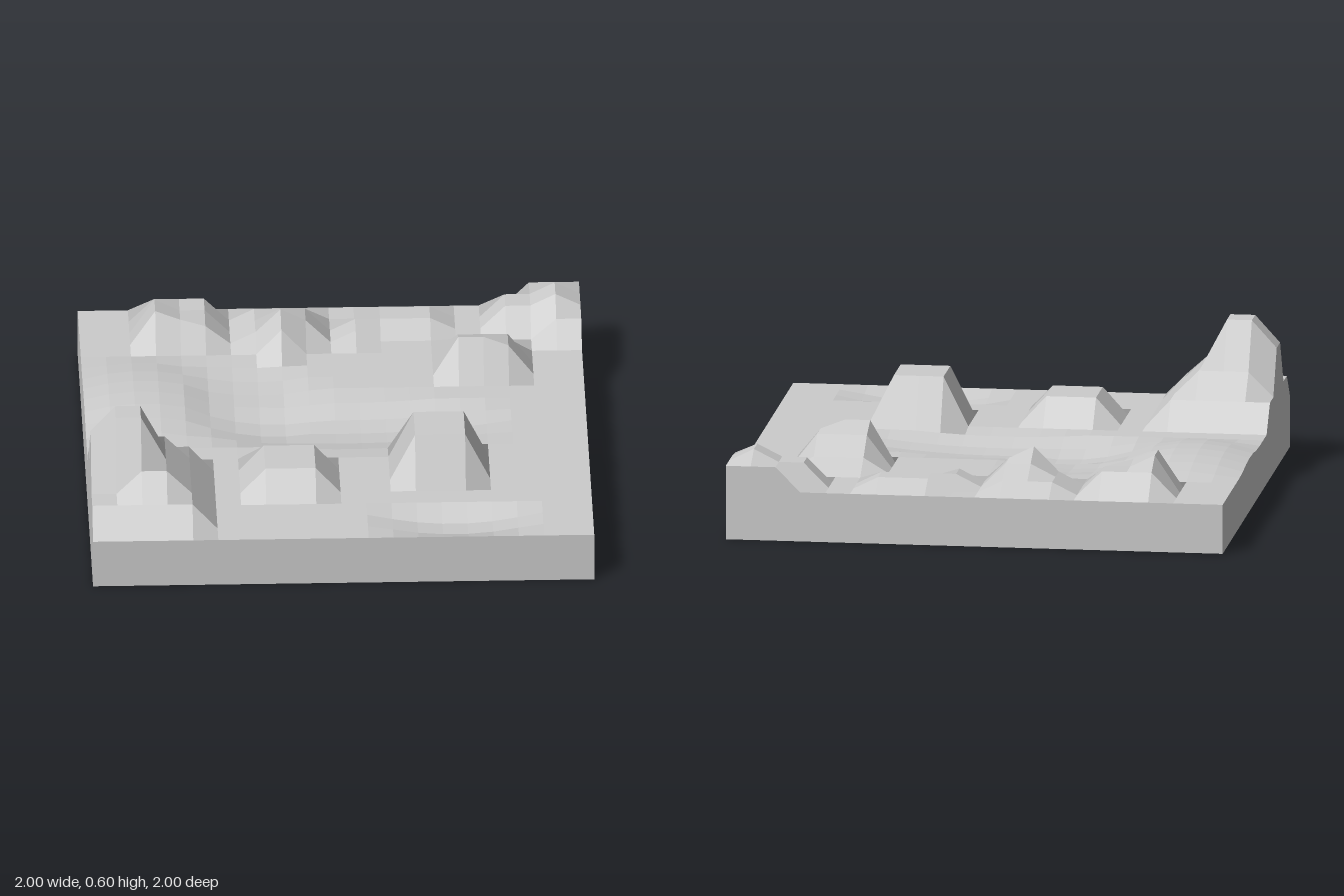
import * as THREE from 'three';

const N = 20;          // terrain cells per side, 0.1 units each
const GROUND = 0.2;    // level of the flat ground

// Flat-topped hill: lifts the grid points in a rectangle; the next cell out forms the slope
const hill = (x0, x1, z0, z1, rise) => (x, z, h) =>
  x > x0 - 0.01 && x < x1 + 0.01 && z > z0 - 0.01 && z < z1 + 0.01
    ? Math.max(h, GROUND + rise) : h;

// Soft oval swell (positive) or hollow (negative)
const swell = (cx, cz, rx, rz, rise) => (x, z, h) =>
  h + rise * Math.max(0, 1 - ((x - cx) / rx) ** 2 - ((z - cz) / rz) ** 2);

const features = [
  // river bed, its north-western arm, western plateau, front pond
  swell(0.05, 0, 0.65, 0.24, -0.05),
  swell(-0.3, -0.2, 0.25, 0.35, -0.03),
  swell(-0.77, -0.2, 0.28, 0.4, 0.05),
  swell(0.45, 0.84, 0.35, 0.14, -0.05),
  // corner mountain: foot, shoulder, ledge, summit
  hill(-1, -0.6, 0.4, 0.9, 0.11),
  hill(-0.9, -0.7, 0.5, 0.7, 0.21),
  hill(-0.8, -0.7, 0.8, 0.8, 0.21),
  hill(-1, -0.8, 0.6, 0.7, 0.29),
  hill(-0.9, -0.8, 0.6, 0.7, 0.4),
  // front mound and square hill
  hill(-0.3, -0.1, 0.4, 0.6, 0.11),
  hill(0.3, 0.5, 0.3, 0.5, 0.2),
  // east ridge, rising towards the front
  hill(0.5, 0.7, -0.6, -0.6, 0.06),
  hill(0.5, 0.7, -0.5, -0.4, 0.13),
  hill(0.5, 0.6, -0.4, -0.4, 0.17),
  // back corner hill with its crest
  hill(0.8, 1, -1, -0.9, 0.1),
  hill(0.7, 1, -0.9, -0.8, 0.1),
  hill(0.9, 1, -0.7, -0.7, 0.09),
  hill(0.9, 0.9, -0.9, -0.8, 0.15),
  // back ridge with its crest
  hill(-0.3, -0.1, -0.9, -0.7, 0.05),
  hill(-0.2, -0.1, -0.8, -0.7, 0.1),
  hill(-0.2, -0.2, -0.7, -0.6, 0.11),
  hill(-0.2, -0.2, -0.7, -0.7, 0.15),
  // low knolls
  hill(0.2, 0.4, -0.9, -0.8, 0.05),
  hill(0.1, 0.1, -0.8, -0.7, 0.05),
  // back left hill
  hill(-0.7, -0.5, -0.9, -0.8, 0.1),
  hill(-0.7, -0.6, -0.7, -0.7, 0.11),
  hill(-0.5, -0.5, -0.7, -0.7, 0.08),
  hill(-0.7, -0.7, -0.8, -0.7, 0.15),
];

const heightAt = (x, z) => features.reduce((h, shape) => shape(x, z, h), GROUND);

// One shared normal per four-cornered cell, so each cell reads as a single facet
function facetCells(geometry) {
  const { position, normal } = geometry.attributes;
  const [a, b, c, d] = Array.from({ length: 4 }, () => new THREE.Vector3());
  for (let k = 0; k < position.count; k += 6) {
    a.fromBufferAttribute(position, k);
    b.fromBufferAttribute(position, k + 1);
    c.fromBufferAttribute(position, k + 4);
    d.fromBufferAttribute(position, k + 2);
    const facing = c.sub(a).cross(d.sub(b)).normalize();
    for (let v = 0; v < 6; v++) normal.setXYZ(k + v, facing.x, facing.y, facing.z);
  }
}

export function createModel() {
  const group = new THREE.Group();
  group.name = 'terrainTile';

  // Solid slab whose upper vertices follow the terrain;
  // the quarter turn runs the cell diagonals from back left to front right
  const box = new THREE.BoxGeometry(2, GROUND, 2, N, 1, N).rotateY(Math.PI / 2);
  const pos = box.attributes.position;
  for (let k = 0; k < pos.count; k++) {
    const top = pos.getY(k) > 0;
    pos.setY(k, top ? heightAt(pos.getX(k), pos.getZ(k)) : 0);
  }
  const geometry = box.toNonIndexed();
  facetCells(geometry);

  const slab = new THREE.Mesh(geometry, new THREE.MeshStandardMaterial({ color: 0xcccccc }));
  slab.name = 'terrainSlab';
  group.add(slab);
  return group;
}
